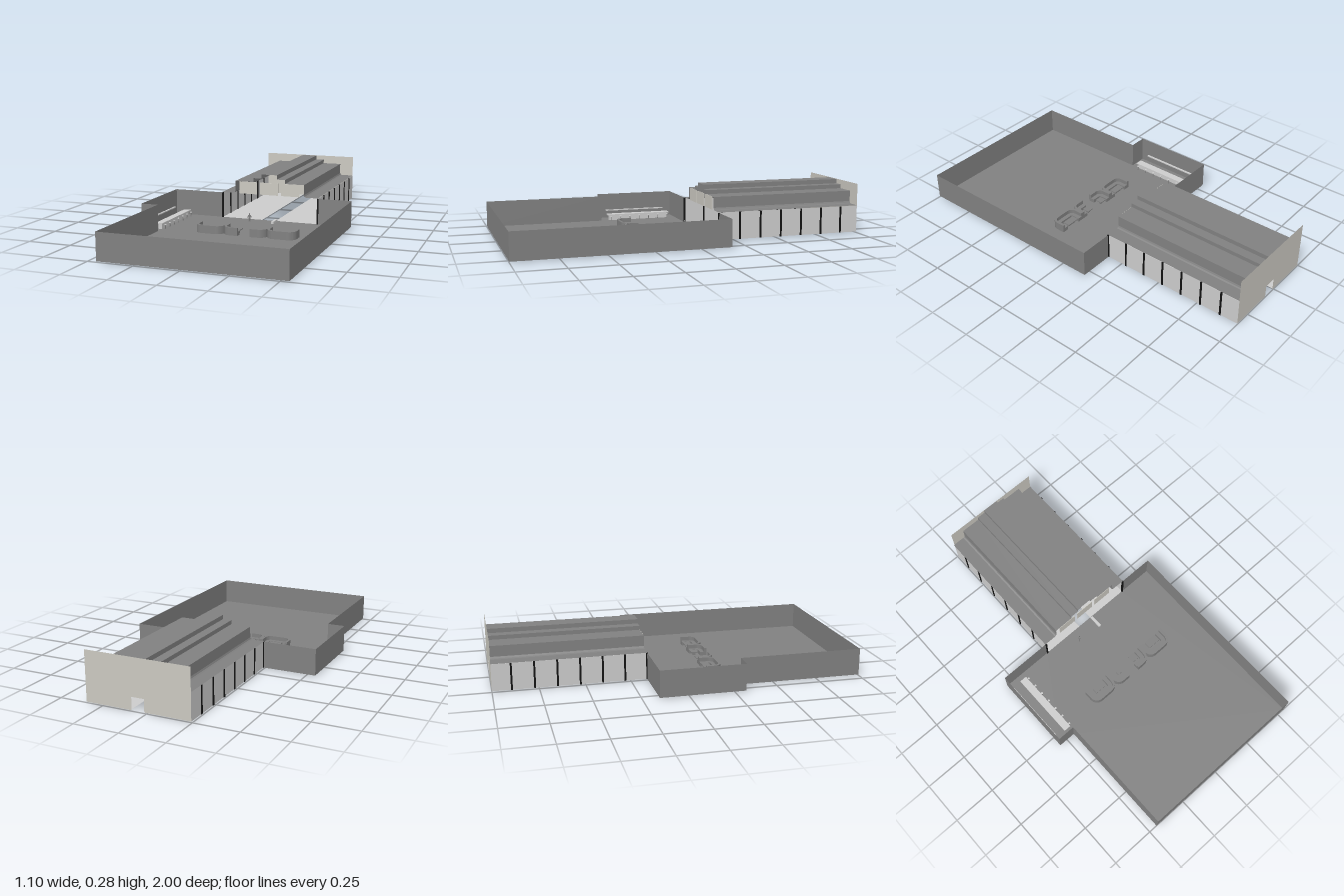
import * as THREE from 'three';

const mat = (color) => new THREE.MeshStandardMaterial({ color, side: THREE.DoubleSide, flatShading: true });
const CX = 0.0475;           // centre line of hall and seating
const FLOOR = 0.005, TOP = 0.155;
const FRONT = -0.16, BACK = -1;

export function createModel() {
  const root = new THREE.Group();
  const dark = mat(0x808080), light = mat(0xcccccc), black = mat(0x111111), warm = mat(0xcac8c0);

  const add = (name, geo, material, parent = root) => {
    const m = new THREE.Mesh(geo, material);
    m.name = name;
    parent.add(m);
    return m;
  };
  const box = (name, x0, x1, y0, y1, z0, z1, material, parent) => {
    const m = add(name, new THREE.BoxGeometry(x1 - x0, y1 - y0, z1 - z0), material, parent);
    m.position.set((x0 + x1) / 2, (y0 + y1) / 2, (z0 + z1) / 2);
    return m;
  };
  // Thin sheet swept from each point of a path by one offset vector
  const ribbon = (pts, off) => {
    const v = [];
    for (let i = 0; i < pts.length - 1; i++) {
      const a = pts[i], b = pts[i + 1];
      const c = b.map((n, k) => n + off[k]), d = a.map((n, k) => n + off[k]);
      v.push(...a, ...b, ...c, ...a, ...c, ...d);
    }
    const g = new THREE.BufferGeometry();
    g.setAttribute('position', new THREE.Float32BufferAttribute(v, 3));
    g.computeVertexNormals();
    return g;
  };
  // Flat plan shape (x, z) lifted to a height
  const plan = (pts, y) => {
    const s = new THREE.Shape(pts.map(([x, z]) => new THREE.Vector2(x, -z)));
    return new THREE.ShapeGeometry(s).rotateX(-Math.PI / 2).translate(0, y, 0);
  };

  // Main room: floor and thin perimeter wall, open towards the hall
  const hl = -0.245, hr = 0.345;
  const outline = [[hr, FRONT], [0.545, FRONT], [0.545, 1], [-0.45, 1], [-0.45, 0.31], [-0.55, 0.31], [-0.55, FRONT], [hl, FRONT]];
  add('roomFloor', plan(outline, FLOOR), dark);
  add('roomWalls', ribbon(outline.map(([x, z]) => [x, FLOOR, z]), [0, TOP - FLOOR, 0]), dark);

  // Hall: side walls, pillars and the two floor strips beside the central gap
  const depth = FRONT - BACK;
  for (const x of [hl, hr]) {
    add('hallSideWall', ribbon([[x, FLOOR, FRONT], [x, FLOOR, BACK]], [0, TOP - FLOOR, 0]), light);
    for (let i = 0; i < 7; i++) {
      const z = FRONT - i * 0.1225;
      box('pillar', x - 0.004, x + 0.004, FLOOR, TOP, z - 0.005, z + 0.005, black);
    }
  }
  for (const [a, b] of [[hl, 0.005], [0.09, hr]])
    add('hallFloor', plan([[a, FRONT], [b, FRONT], [b, BACK], [a, BACK]], FLOOR), light);

  // Stepped roof, open at the front
  const half = [[0.2975, 0.157], [0.225, 0.157], [0.217, 0.161], [0.213, 0.17], [0.212, 0.23],
    [0.098, 0.23], [0.098, 0.253], [0.047, 0.253], [0.047, 0.278]];
  const profile = [...half.map(([x, y]) => [CX - x, y, FRONT]),
    ...half.slice().reverse().map(([x, y]) => [CX + x, y, FRONT])];
  add('hallRoof', ribbon(profile, [0, 0, -depth]), dark);

  // End wall with a doorway
  const end = new THREE.Shape([[hl, FLOOR], [0.012, FLOOR], [0.012, 0.075], [0.083, 0.075], [0.083, FLOOR],
    [hr, FLOOR], [hr, 0.28], [hl, 0.28]].map(([x, y]) => new THREE.Vector2(x, y)));
  add('endWall', new THREE.ShapeGeometry(end).translate(0, 0, BACK), warm);

  // Hanging panels over the hall entrance
  for (const i of [-1, 0, 1]) {
    const x = CX + i * 0.131;
    box('hangingPanel', x - 0.056, x + 0.056, 0.157, 0.229, FRONT - 0.002, FRONT + 0.002, warm);
  }

  // Bar in the side alcove
  const bar = new THREE.Group();
  bar.name = 'bar';
  root.add(bar);
  box('counterBody', -0.472, -0.45, 0, 0.036, -0.11, 0.26, light, bar);
  box('counterTop', -0.482, -0.44, 0.036, 0.042, -0.12, 0.27, light, bar);
  box('backShelf', -0.546, -0.535, 0.05, 0.056, -0.11, 0.26, light, bar);
  for (let i = 0; i < 7; i++) {
    const z = -0.105 + i * 0.0595;
    add('stoolSeat', new THREE.CylinderGeometry(0.006, 0.006, 0.004, 8), light, bar).position.set(-0.432, 0.03, z);
    add('stoolLeg', new THREE.CylinderGeometry(0.0015, 0.003, 0.024, 6), dark, bar).position.set(-0.432, 0.017, z);
  }

  // Sofa bands: U or L shaped plan between two insets, with rounded corners
  const zb = 0.272, zf = 0.18;
  const path = (x0, x1, inset, isU) => {
    const a = x0 + inset, z = zb - inset, r = Math.max(0.045 - inset, 0.008), p = [[a, zf]];
    for (let i = 0; i <= 6; i++) {
      const t = (i / 6) * Math.PI / 2;
      p.push([a + r - r * Math.cos(t), z - r + r * Math.sin(t)]);
    }
    if (!isU) return [...p, [x1, z]];
    return [...p, ...p.slice().reverse().map(([x, zz]) => [x0 + x1 - x, zz])];
  };
  const band = (x0, x1, i0, i1, h, isU) => {
    const pts = [...path(x0, x1, i0, isU), ...path(x0, x1, i1, isU).reverse()];
    const s = new THREE.Shape(pts.map(([x, z]) => new THREE.Vector2(x, -z)));
    return new THREE.ExtrudeGeometry(s, { depth: h, bevelEnabled: false }).rotateX(-Math.PI / 2).translate(0, FLOOR, 0);
  };
  for (const side of [1, -1]) {
    const set = new THREE.Group();
    set.name = side === 1 ? 'rightSeating' : 'leftSeating';
    for (const [x0, x1, isU] of [[-0.245, -0.078, true], [-0.078, 0.012, false]]) {
      add('sofaBack', band(x0, x1, 0, 0.014, 0.045, isU), dark, set);
      add('sofaSeat', band(x0, x1, 0.014, 0.038, 0.022, isU), dark, set);
    }
    for (const [x0, x1] of [[-0.198, -0.122], [-0.03, 0.01]]) {
      box('tableTop', x0, x1, 0.024, 0.029, zf, 0.222, dark, set);
      box('tableBase', x0 + 0.012, x1 - 0.012, FLOOR, 0.024, 0.194, 0.208, dark, set);
    }
    if (side === -1) {
      // Mirrored copy about the centre line
      for (const m of set.children) {
        m.geometry.translate(m.position.x, m.position.y, m.position.z).scale(-1, 1, 1).translate(2 * CX, 0, 0);
        m.position.set(0, 0, 0);
        const flat = m.geometry.index ? m.geometry.toNonIndexed() : m.geometry;
        const p = flat.attributes.position;
        for (let i = 0; i < p.count; i += 3) {
          const b = new THREE.Vector3().fromBufferAttribute(p, i + 1), c = new THREE.Vector3().fromBufferAttribute(p, i + 2);
          p.setXYZ(i + 1, c.x, c.y, c.z);
          p.setXYZ(i + 2, b.x, b.y, b.z);
        }
        flat.computeVertexNormals();
        m.geometry = flat;
      }
    }
    root.add(set);
  }

  // Standing figure near the hall entrance
  const figure = new THREE.Group();
  figure.name = 'standingFigure';
  const limb = (name, r, h, x, y, tilt = 0) => {
    const m = add(name, new THREE.CylinderGeometry(r, r * 0.8, h, 6), dark, figure);
    m.position.set(x, y, 0);
    m.rotation.z = tilt;
  };
  for (const s of [-1, 1]) {
    limb('leg', 0.0032, 0.026, s * 0.004, 0.013, s * 0.08);
    limb('arm', 0.002, 0.02, s * 0.011, 0.034, s * 0.6);
  }
  limb('torso', 0.006, 0.02, 0, 0.034);
  add('head', new THREE.SphereGeometry(0.0045, 8, 6), dark, figure).position.y = 0.05;
  figure.position.set(-0.052, 0, -0.095);
  figure.rotation.y = 0.75;
  root.add(figure);

  // Low entrance stand beside the floor gap
  box('entranceStand', 0.088, 0.103, 0, 0.018, -0.155, -0.078, light);

  return root;
}
